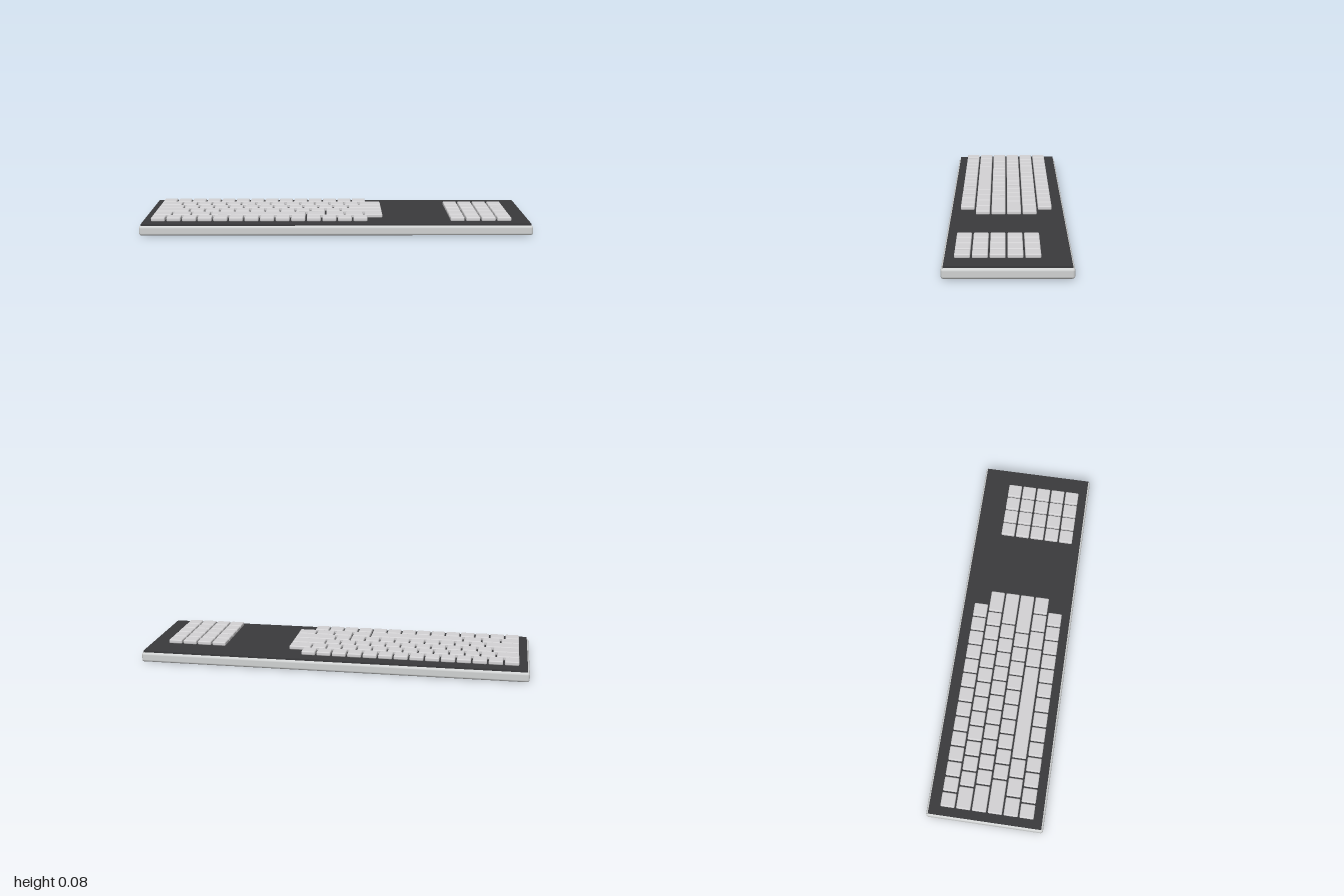
import * as THREE from 'three';
import { RoundedBoxGeometry } from 'three/addons/geometries/RoundedBoxGeometry.js';

const PITCH = 0.0797, GAP = 0.008, KEY_DEPTH = 0.072, KEY_HEIGHT = 0.021;
const BACK_ROW_Z = -0.194;

export function createModel() {
  const keyboard = new THREE.Group();
  keyboard.name = 'keyboard';
  const silver = new THREE.MeshStandardMaterial({ color: 0xd0d2d2 });
  silver.name = 'silver case';
  const dark = new THREE.MeshStandardMaterial({ color: 0x3a3a3c });
  dark.name = 'dark plate';
  const keyGrey = new THREE.MeshStandardMaterial({ color: 0xd3d2d4 });
  keyGrey.name = 'light key';

  const add = (parent, name, geometry, material, x, y, z) => {
    const mesh = new THREE.Mesh(geometry, material);
    mesh.name = name;
    mesh.position.set(x, y, z);
    parent.add(mesh);
  };

  // Rounded case with the thin dark plate on top
  add(keyboard, 'case', new RoundedBoxGeometry(2, 0.051, 0.594, 4, 0.013), silver, 0, 0.0255, 0);
  add(keyboard, 'topPlate', new THREE.BoxGeometry(1.98, 0.01, 0.574), dark, 0, 0.055, 0);

  // Key caps: one geometry per width, widths given in key units
  const caps = new Map();
  const cap = (units) => {
    if (!caps.has(units)) {
      caps.set(units, new RoundedBoxGeometry(units * PITCH - GAP, KEY_HEIGHT, KEY_DEPTH, 3, 0.006));
    }
    return caps.get(units);
  };
  const addRow = (parent, name, widths, startX, row) => {
    let x = startX;
    for (const units of widths) {
      const isSpace = units > 5;
      add(parent, isSpace ? 'spaceBar' : name, cap(units), keyGrey,
        x + (units * PITCH - GAP) / 2, 0.0615 + KEY_HEIGHT / 2, BACK_ROW_Z + row * 0.08);
      x += units * PITCH;
    }
  };
  const ones = (count) => Array(count).fill(1);

  // Main block, from the back row to the front row
  const mainKeys = new THREE.Group();
  mainKeys.name = 'mainKeys';
  const rows = [
    ones(14),
    [1.5, ...ones(12), 1.5],
    [1.75, ...ones(11), 2.25],
    [2.25, ...ones(10), 2.75],
    [1.25, 1.25, 1.25, 6.25, 1.25, 1.25, 1.25, 1.25],
    ones(14),
  ];
  rows.forEach((widths, row) => addRow(mainKeys, 'key', widths, -0.947, row));

  // Number pad
  const numberPad = new THREE.Group();
  numberPad.name = 'numberPad';
  for (let row = 1; row <= 5; row++) addRow(numberPad, 'padKey', ones(4), 0.586, row);

  keyboard.add(mainKeys, numberPad);
  return keyboard;
}
